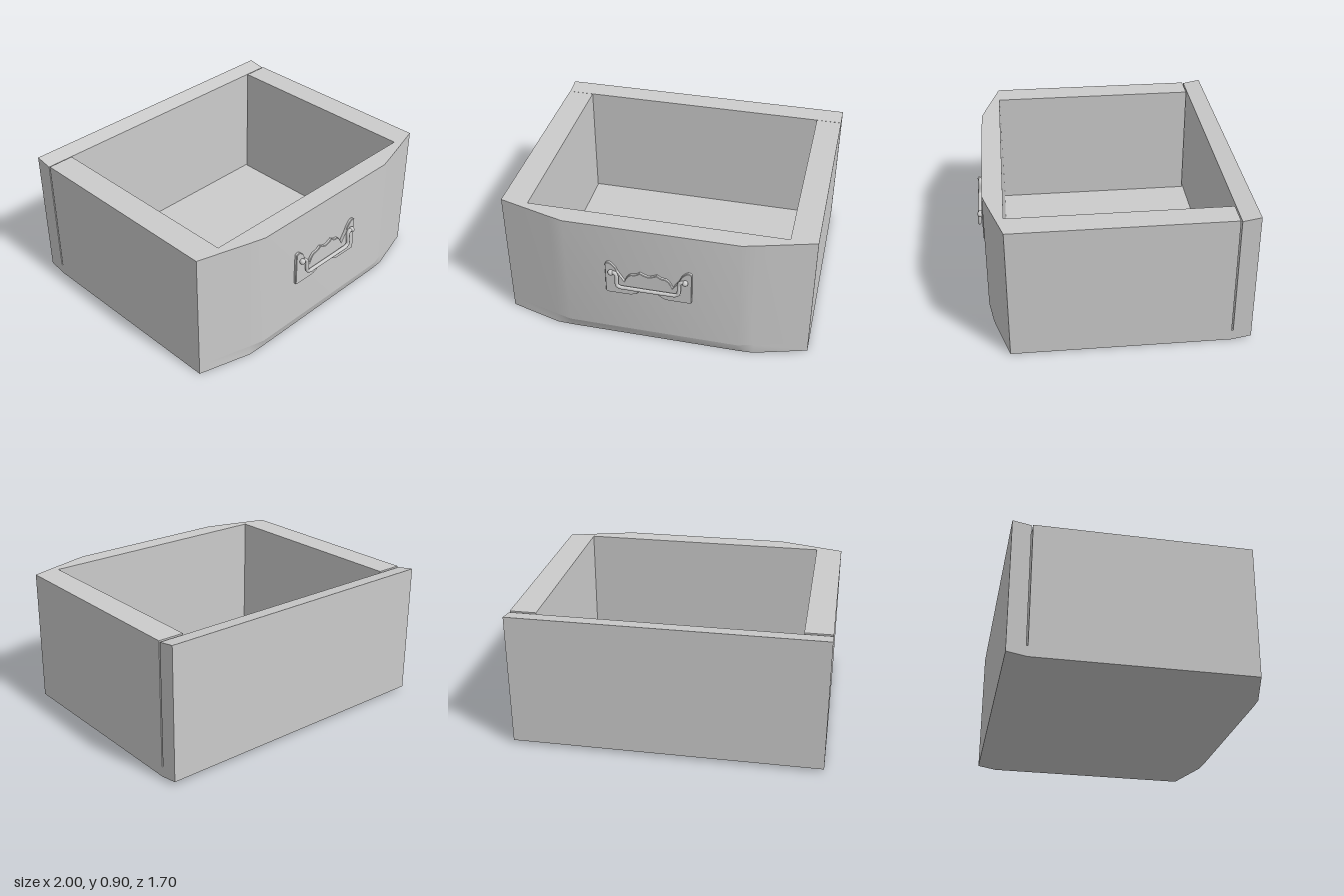
import * as THREE from 'three';
import { toCreasedNormals } from 'three/addons/utils/BufferGeometryUtils.js';

const material = new THREE.MeshStandardMaterial({ color: 0xcccccc });
const BASE_TOP = 0.07, WALL_TOP = 0.885, WALL_BACK = -0.72;

function part(name, geometry) {
  const mesh = new THREE.Mesh(geometry, material);
  mesh.name = name;
  return mesh;
}

// Shape from [x, z] points, laid flat and extruded upwards
const planShape = (pts) => new THREE.Shape(pts.map(([x, z]) => new THREE.Vector2(x, -z)));
function extrudeUp(shape, y0, y1) {
  const g = new THREE.ExtrudeGeometry(shape, { depth: y1 - y0, bevelEnabled: false });
  return g.rotateX(-Math.PI / 2).translate(0, y0, 0);
}

// Bowed front edge, left to right
const half = [[0.56, 0.798], [0.66, 0.771], [1, 0.673]];
const front = [...half.map(([x, z]) => [-x, z]).reverse(), ...half];

function createBase() {
  const g = extrudeUp(planShape([[-1, WALL_BACK], ...front, [1, WALL_BACK]]), 0, BASE_TOP);
  // Undercut the lower front edge
  const p = g.attributes.position;
  for (let i = 0; i < p.count; i++) {
    if (p.getY(i) < 0.01 && p.getZ(i) > 0.775) p.setZ(i, 0.775);
  }
  return part('base', toCreasedNormals(g, 0.5));
}

// Two sides and the bowed front in one U-shaped piece
function createWalls() {
  const shape = planShape([
    [-1, WALL_BACK], ...front, [1, WALL_BACK],
    [0.83, WALL_BACK], [0.83, 0.67], [-0.825, 0.67], [-0.825, WALL_BACK],
  ]);
  return part('sidesAndFront', toCreasedNormals(extrudeUp(shape, BASE_TOP, WALL_TOP), 0.5));
}

// Back board with sloping edges, separated from the sides by a thin gap
function createBack() {
  const profile = [[-0.72, 0], [-0.72, BASE_TOP], [-0.73, BASE_TOP], [-0.73, 0.88], [-0.847, 0.9], [-0.847, 0.022]];
  const shape = new THREE.Shape(profile.map(([z, y]) => new THREE.Vector2(z, y)));
  const g = new THREE.ExtrudeGeometry(shape, { depth: 2, bevelEnabled: false });
  return part('backPanel', g.rotateY(-Math.PI / 2).translate(1, 0, 0));
}

// Scalloped plate behind the handle
function createPlate() {
  const s = new THREE.Shape();
  s.moveTo(0, 0.434);
  s.bezierCurveTo(0.06, 0.434, 0.07, 0.38, 0.13, 0.38);
  s.lineTo(0.262, 0.38);
  s.quadraticCurveTo(0.278, 0.38, 0.278, 0.396);
  s.lineTo(0.278, 0.6);
  s.quadraticCurveTo(0.278, 0.62, 0.252, 0.62);
  s.quadraticCurveTo(0.215, 0.6, 0.2, 0.555);
  s.lineTo(0.155, 0.482);
  s.quadraticCurveTo(0.14, 0.53, 0.11, 0.545);
  s.quadraticCurveTo(0.08, 0.542, 0.055, 0.567);
  s.quadraticCurveTo(0.03, 0.552, 0, 0.545);
  // Mirror the right half onto the left
  const right = s.getPoints(8);
  const left = right.slice(1, -1).reverse().map((p) => new THREE.Vector2(-p.x, p.y));
  const g = new THREE.ExtrudeGeometry(new THREE.Shape([...right, ...left]), {
    depth: 0.014, bevelThickness: 0.004, bevelSize: 0.003, bevelOffset: -0.003, bevelSegments: 1,
  });
  return part('handlePlate', toCreasedNormals(g.translate(0, 0, 0.798), 0.5));
}

function createHandle() {
  const handle = new THREE.Group();
  handle.name = 'handle';
  handle.add(createPlate());

  // Swinging bail, leaning forward towards its lower bar
  const side = [
    [0.238, 0.553, 0.828], [0.215, 0.556, 0.829], [0.202, 0.54, 0.83],
    [0.2, 0.485, 0.835], [0.195, 0.463, 0.837], [0.175, 0.453, 0.838], [0.14, 0.452, 0.838],
  ].map((p) => new THREE.Vector3(...p));
  const other = side.map((p) => new THREE.Vector3(-p.x, p.y, p.z)).reverse();
  const curve = new THREE.CatmullRomCurve3([...side, ...other], false, 'centripetal');
  handle.add(part('bail', new THREE.TubeGeometry(curve, 80, 0.0125, 10)));

  // Knobs and posts that hold the bail
  for (const sx of [-1, 1]) {
    const knob = part('bailKnob', new THREE.SphereGeometry(0.019, 16, 12));
    knob.position.set(sx * 0.238, 0.553, 0.828);
    const post = part('bailPost', new THREE.CylinderGeometry(0.012, 0.016, 0.03, 12));
    post.rotation.x = Math.PI / 2;
    post.position.set(sx * 0.238, 0.553, 0.815);
    handle.add(knob, post);
  }
  handle.position.x = -0.016;
  return handle;
}

export function createModel() {
  const model = new THREE.Group();
  model.name = 'drawer';
  model.add(createBase(), createWalls(), createBack(), createHandle());
  // Centre front to back
  model.children.forEach((c) => { c.position.z -= 0.001; });
  return model;
}
